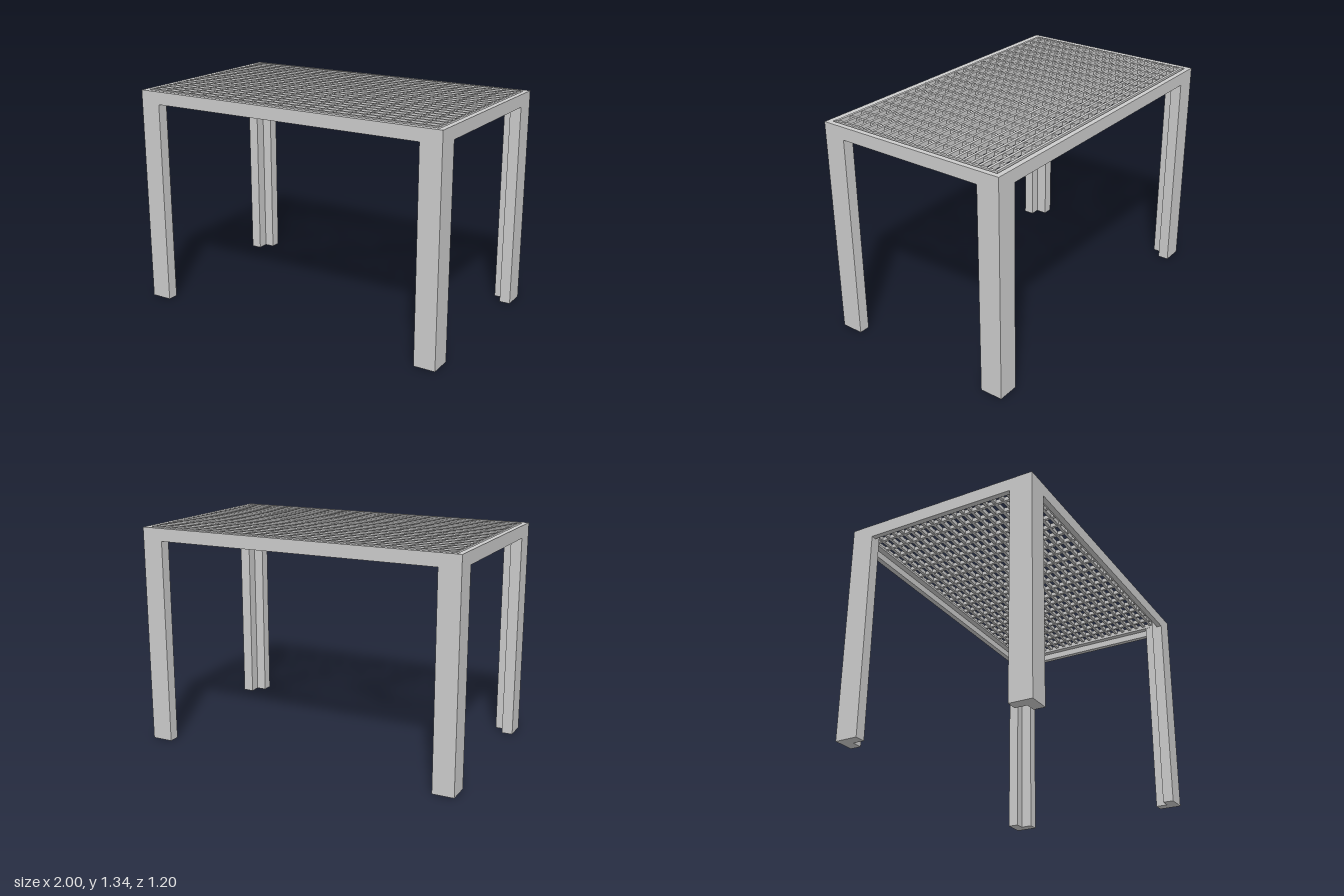
import * as THREE from 'three';

const W = 1, D = 0.602;           // half width and half depth
const TOP = 1.335, RAIL = 0.077;  // frame top and rail height

const material = new THREE.MeshStandardMaterial({ color: 0xcccccc, flatShading: true });

function add(parent, geometry, name, x = 0, y = 0, z = 0) {
  const mesh = new THREE.Mesh(geometry, material);
  mesh.name = name;
  mesh.position.set(x, y, z);
  parent.add(mesh);
  return mesh;
}

// Extrude a plan-view outline upward from y0 to y1
function extrudeUp(shape, y0, y1) {
  const g = new THREE.ExtrudeGeometry(shape, { depth: y1 - y0, bevelEnabled: false });
  return g.rotateX(-Math.PI / 2).translate(0, y0, 0);
}

function rectPoints(w, d) {
  return [[-w, -d], [w, -d], [w, d], [-w, d]].map(p => new THREE.Vector2(...p));
}

// Rectangular ring in plan view
function ring(w, d, innerW, innerD) {
  const shape = new THREE.Shape(rectPoints(w, d));
  shape.holes.push(new THREE.Path(rectPoints(innerW, innerD).reverse()));
  return shape;
}

// L-shaped leg section with its outer corner at (sx * W, sz * D)
function legShape(sx, sz) {
  const a = 0.13, b = 0.138, t = 0.067;
  const pts = [[0, 0], [a, 0], [a, t], [t, t], [t, b], [0, b]]
    .map(([x, z]) => new THREE.Vector2(sx * (W - x), sz * (D - z)));
  if (sx * sz < 0) pts.reverse();
  return new THREE.Shape(pts);
}

export function createModel() {
  const table = new THREE.Group();
  table.name = 'table';

  // Outer frame and the recessed ledge that carries the grille
  add(table, extrudeUp(ring(W, D, W - 0.032, D - 0.032), TOP - RAIL, TOP), 'frame');
  add(table, extrudeUp(ring(W - 0.032, D - 0.032, 0.932, 0.534), 1.3, 1.315), 'grilleLedge');

  // Angle-section legs
  for (const sx of [-1, 1]) for (const sz of [-1, 1]) {
    const name = (sz > 0 ? 'front' : 'back') + (sx > 0 ? 'Left' : 'Right') + 'Leg';
    // plan y becomes -z when extruded upward
    add(table, extrudeUp(legShape(sx, -sz), 0, 1.3), name);
  }

  // Grille: long slats over cross bars
  const grille = new THREE.Group();
  grille.name = 'grille';
  table.add(grille);
  const n = 22, pitchX = 0.0902, pitchZ = 0.0526, bar = 0.0165;
  const halfX = (n - 1) / 2 * pitchX + bar / 2;
  const halfZ = (n - 1) / 2 * pitchZ + bar / 2;
  const slat = new THREE.BoxGeometry(halfX * 2, 0.025, bar);
  const cross = new THREE.BoxGeometry(bar, 0.025, halfZ * 2 - 0.002);
  for (let i = 0; i < n; i++) {
    const k = i - (n - 1) / 2;
    add(grille, slat, 'longSlat', 0, 1.3275, k * pitchZ);
    add(grille, cross, 'crossBar', k * pitchX, 1.3235, 0);
  }
  return table;
}
